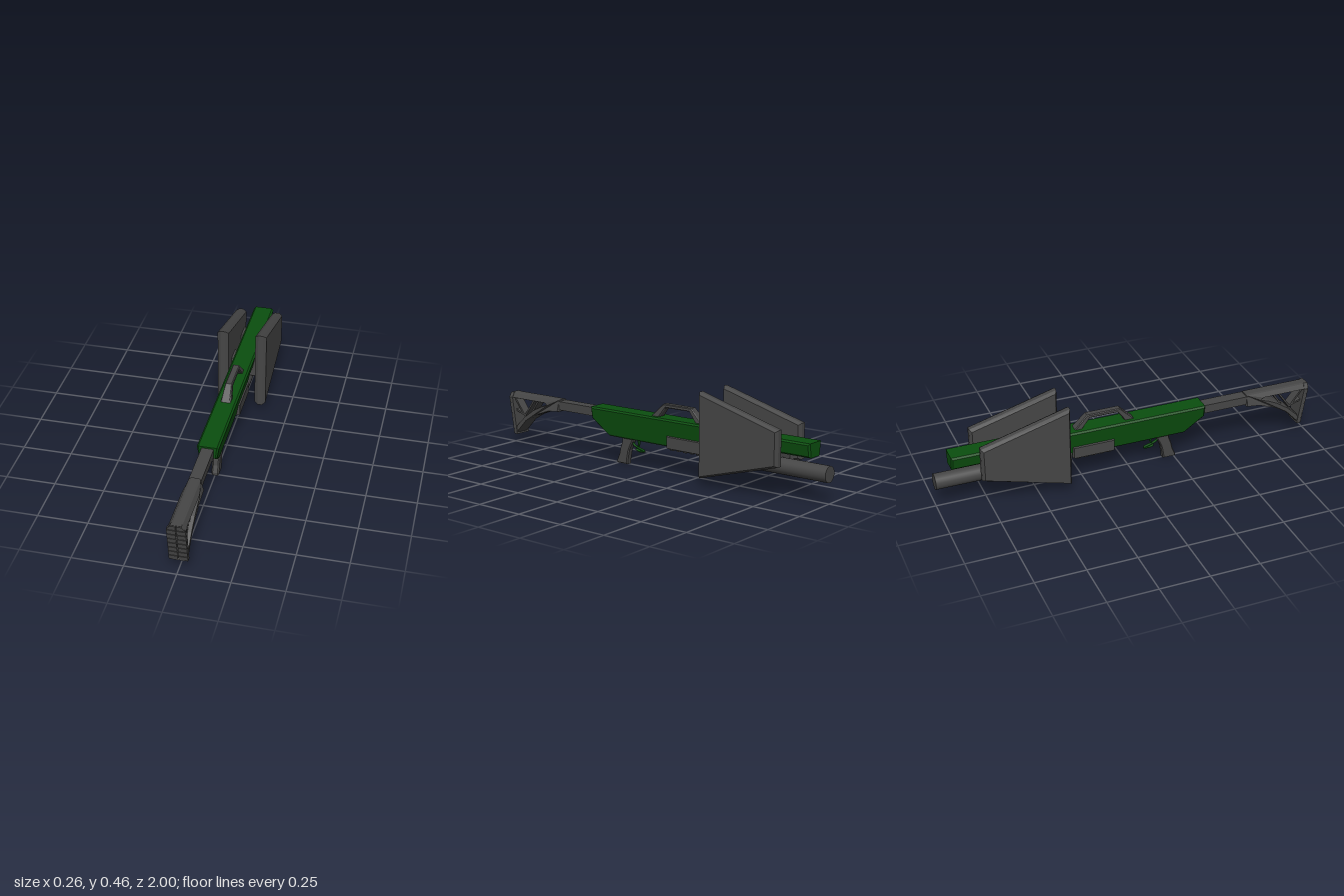
import * as THREE from 'three';

const dark = new THREE.MeshStandardMaterial({ color: 0x464646 });
const green = new THREE.MeshStandardMaterial({ color: 0x0b4f0f });

// Side profile given as [z, y] points, extruded across x with chamfered edges
function slab(points, width, bevelX = 0.006, bevelEdge = 0.006) {
  const shape = new THREE.Shape(points.map(([z, y]) => new THREE.Vector2(z, y)));
  const depth = width - 2 * bevelX;
  const geo = new THREE.ExtrudeGeometry(shape, {
    depth, bevelEnabled: true, bevelSegments: 1,
    bevelThickness: bevelX, bevelSize: bevelEdge, bevelOffset: -bevelEdge,
  });
  return geo.translate(0, 0, -depth / 2).rotateY(-Math.PI / 2);
}

// Moves every vertex by a rule
function reshape(geo, rule) {
  const p = geo.attributes.position;
  const v = new THREE.Vector3();
  for (let i = 0; i < p.count; i++) {
    rule(v.fromBufferAttribute(p, i));
    p.setXYZ(i, v.x, v.y, v.z);
  }
  geo.computeVertexNormals();
  return geo;
}

export function createModel() {
  const model = new THREE.Group();
  const add = (name, geo, mat = dark, parent = model) => {
    const mesh = new THREE.Mesh(geo, mat);
    mesh.name = name;
    parent.add(mesh);
    return mesh;
  };
  const box = (w, h, d, x, y, z) => new THREE.BoxGeometry(w, h, d).translate(x, y, z);

  // Long body, narrowing towards its underside
  const body = slab([
    [0.405, 0.28], [0.405, 0.218], [0.3, 0.137], [-0.305, 0.137],
    [-0.35, 0.21], [-0.92, 0.21], [-0.92, 0.28],
  ], 0.108, 0.009, 0.008);
  add('body', reshape(body, (v) => { v.x *= 1 - (0.272 - Math.min(v.y, 0.272)) * 3.2; }), green);

  // Lower tube
  add('lowerTube', new THREE.CylinderGeometry(0.04, 0.04, 0.69, 24)
    .rotateX(Math.PI / 2).translate(0, 0.14, -0.655));
  add('tubeCollar', new THREE.CylinderGeometry(0.034, 0.04, 0.004, 24)
    .rotateX(-Math.PI / 2).translate(0, 0.14, -0.998));

  // Ribbed fore grip
  const fore = new THREE.Group();
  fore.name = 'foreGrip';
  model.add(fore);
  add('foreGripBlock', slab([
    [-0.085, 0.195], [-0.085, 0.133], [-0.095, 0.129], [-0.295, 0.129], [-0.305, 0.133], [-0.305, 0.195],
  ], 0.096, 0.008, 0.004), dark, fore);
  for (let i = 0; i < 5; i++) {
    add('foreGripRib', box(0.076, 0.012, 0.022, 0, 0.129, -0.115 - i * 0.04), dark, fore);
  }

  // Carry handle, narrower at the top
  const handle = slab([
    [0.03, 0.275], [-0.045, 0.347], [-0.22, 0.347], [-0.29, 0.275],
    [-0.25, 0.275], [-0.205, 0.329], [-0.06, 0.329], [-0.02, 0.275],
  ], 0.05, 0.006, 0.004);
  add('carryHandle', reshape(handle, (v) => { v.x *= 1 - Math.max(v.y - 0.28, 0) * 4.2; }));

  // Side plates with their mounting blocks
  const plate = [[-0.34, 0.035], [-0.34, 0.46], [-0.79, 0.335], [-0.79, 0.16]];
  for (const side of [1, -1]) {
    add(side > 0 ? 'leftPlate' : 'rightPlate', slab(plate, 0.058, 0.017, 0.011))
      .position.x = side * 0.099;
  }
  for (const z of [-0.458, -0.695]) add('plateMount', box(0.15, 0.092, 0.085, 0, 0.209, z));

  // Pistol grip
  add('pistolGrip', slab([
    [0.225, 0.15], [0.222, 0.12], [0.235, 0.085], [0.243, 0.05], [0.258, 0.015], [0.258, 0],
    [0.19, 0], [0.187, 0.03], [0.178, 0.075], [0.155, 0.125], [0.155, 0.15],
  ], 0.038, 0.007, 0.005));

  // Trigger and its guard
  const guardPath = new THREE.CatmullRomCurve3([
    [0.14, 0.165], [0.107, 0.158], [0.08, 0.088], [0.077, 0.122], [0.085, 0.142],
  ].map(([y, z]) => new THREE.Vector3(0, y, z)));
  add('triggerGuard', new THREE.TubeGeometry(guardPath, 24, 0.005, 6), green).scale.x = 1.6;
  add('trigger', slab([
    [0.135, 0.14], [0.128, 0.112], [0.134, 0.098], [0.127, 0.097], [0.119, 0.113], [0.121, 0.14],
  ], 0.01, 0.002, 0.001), green);

  // Stock: tube, forked frame, struts and butt pad
  const stock = new THREE.Group();
  stock.name = 'stock';
  model.add(stock);
  add('stockTube', slab([
    [0.39, 0.225], [0.66, 0.225], [0.66, 0.272], [0.39, 0.272],
  ], 0.06, 0.012, 0.001), dark, stock);
  const frame = slab([
    [0.645, 0.28], [0.985, 0.28], [0.982, 0.25], [0.74, 0.25], [0.727, 0.242],
    [0.77, 0.23], [0.823, 0.205], [0.887, 0.162], [0.945, 0.108], [0.968, 0.058],
    [0.95, 0.058], [0.877, 0.135], [0.807, 0.175], [0.716, 0.208], [0.645, 0.216],
  ], 0.084, 0.012, 0.004);
  // Top edge of the stock slopes in on both sides
  const slopeTop = (y) => 1 - Math.max(y - 0.255, 0) * 17;
  add('stockFrame', reshape(frame, (v) => { v.x *= slopeTop(v.y); }), dark, stock);

  const struts = [
    [0.905, 0.155, 0.83, 0.257], [0.975, 0.252, 0.905, 0.16],
    [0.985, 0.192, 0.895, 0.16], [0.85, 0.185, 0.8, 0.257],
  ];
  for (const [z1, y1, z2, y2] of struts) {
    const strut = add('stockStrut', new THREE.BoxGeometry(0.05, 0.009, Math.hypot(z2 - z1, y2 - y1)), dark, stock);
    strut.position.set(0, (y1 + y2) / 2, (z1 + z2) / 2);
    strut.rotation.x = -Math.atan2(y2 - y1, z2 - z1);
  }

  // Butt pad leans back with height; two columns of small pads on a backing plate
  const lean = (v) => {
    v.x *= slopeTop(v.y);
    v.z += 0.965 + (v.y - 0.055) * 0.155;
  };
  for (const [y, h] of [[0.155, 0.2], [0.2675, 0.025]]) {
    add('buttPlate', reshape(box(0.09, h, 0.018, 0, y, -0.013), lean), dark, stock);
  }
  const rows = 8;
  const step = 0.225 / rows;
  for (let r = 0; r < rows; r++) {
    for (const side of [1, -1]) {
      const pad = box(0.042, step - 0.004, 0.006, side * 0.0235, 0.055 + step * (r + 0.5), -0.002);
      add('buttPad', reshape(pad, lean), dark, stock);
    }
  }
  return model;
}
